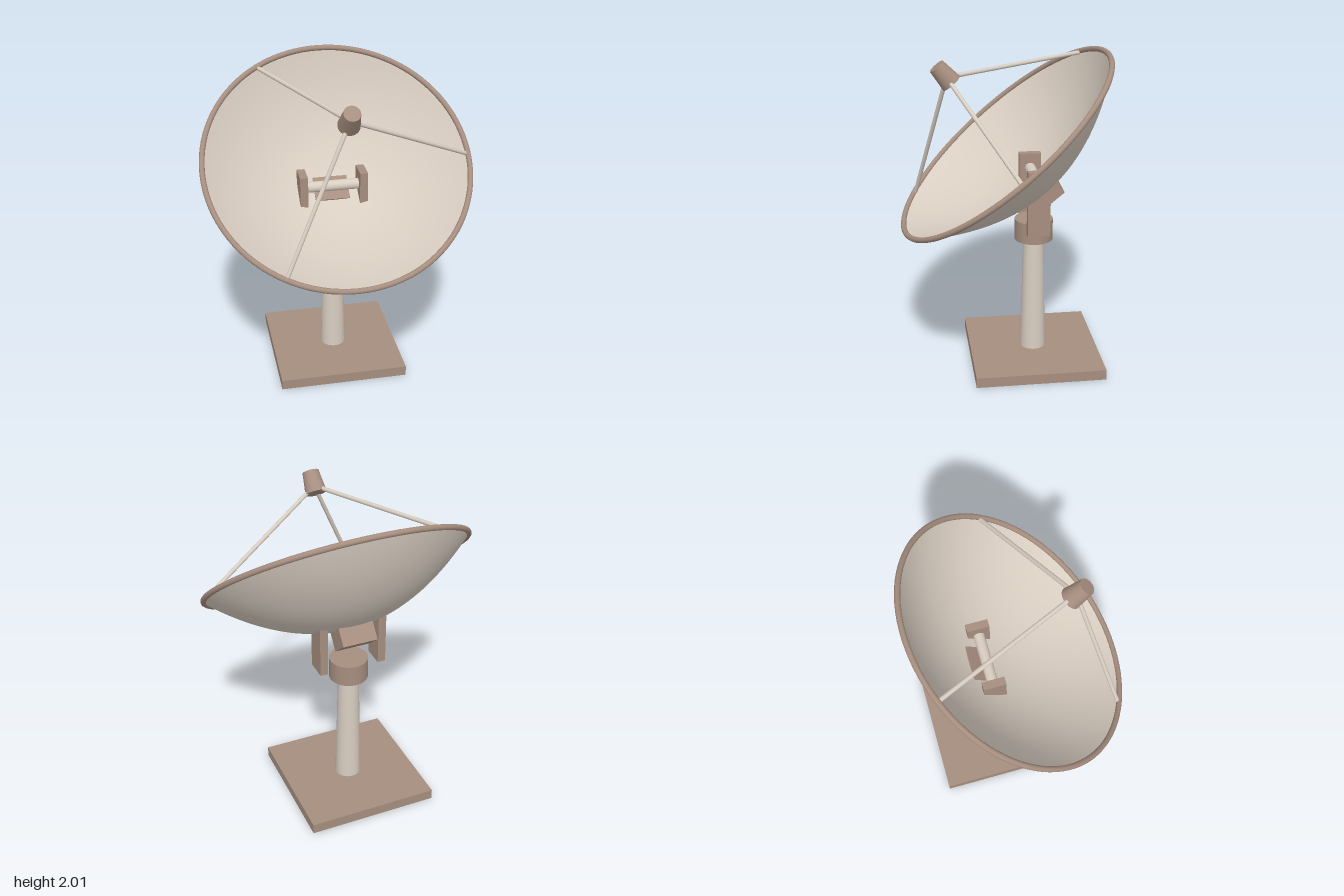
import * as THREE from 'three';

export function createModel() {
  const cream = new THREE.MeshStandardMaterial({ name: 'cream', color: 0xd8cdc1 });
  const creamShell = new THREE.MeshStandardMaterial({ name: 'creamShell', color: 0xd8cdc1, side: THREE.DoubleSide });
  const brown = new THREE.MeshStandardMaterial({ name: 'brown', color: 0xa68e7f });

  const model = new THREE.Group();
  model.name = 'dishAntenna';
  const add = (parent, name, geometry, material, x = 0, y = 0, z = 0) => {
    const mesh = new THREE.Mesh(geometry, material);
    mesh.name = name;
    mesh.position.set(x, y, z);
    parent.add(mesh);
    return mesh;
  };

  // Pedestal, set behind the centre of the dish
  const pz = -0.19;
  add(model, 'basePlate', new THREE.BoxGeometry(0.82, 0.066, 0.82), brown, 0, 0.033, pz);
  add(model, 'column', new THREE.CylinderGeometry(0.065, 0.081, 0.76, 32), cream, 0, 0.446, pz);
  add(model, 'collar', new THREE.CylinderGeometry(0.12, 0.12, 0.135, 40), brown, 0, 0.8875, pz);

  // Fork arms and the tilt axle between them
  for (const [name, s] of [['leftForkArm', 1], ['rightForkArm', -1]]) {
    add(model, name, new THREE.BoxGeometry(0.05, 0.41, 0.138), brown, s * 0.19, 1.12, pz);
  }
  const axle = add(model, 'tiltAxle', new THREE.CylinderGeometry(0.034, 0.034, 0.42, 24), cream, 0, 1.23, pz);
  axle.rotation.z = Math.PI / 2;

  // Tilted reflector assembly: local y is the dish axis, the rim lies at y = 0
  const dish = new THREE.Group();
  dish.name = 'reflectorAssembly';
  dish.position.y = 1.465;
  dish.rotation.x = THREE.MathUtils.degToRad(40);
  model.add(dish);

  const radius = 0.815, depth = 0.365;
  const profile = [];
  for (let i = 0; i <= 24; i++) {
    const t = i / 24;
    profile.push(new THREE.Vector2(radius * t, depth * (t * t - 1)));
  }
  add(dish, 'reflector', new THREE.LatheGeometry(profile, 72), creamShell);

  const rim = add(dish, 'rim', new THREE.TorusGeometry(radius, 0.017, 12, 96), brown);
  rim.rotation.x = Math.PI / 2;

  add(dish, 'mountBlock', new THREE.BoxGeometry(0.22, 0.119, 0.16), brown, 0, -0.4105, 0);

  // Feed horn on the axis, held by three struts from the rim
  add(dish, 'feedHorn', new THREE.CylinderGeometry(0.05, 0.066, 0.136, 28), brown, 0, 0.551, 0);
  const apex = new THREE.Vector3(0, 0.53, 0);
  for (let i = 0; i < 3; i++) {
    const a = (i * Math.PI * 2) / 3;
    const foot = new THREE.Vector3(0.8 * Math.cos(a), 0, 0.8 * Math.sin(a));
    const span = apex.clone().sub(foot);
    const strut = add(dish, 'feedStrut', new THREE.CylinderGeometry(0.013, 0.013, span.length(), 14), cream);
    strut.position.copy(foot).add(apex).multiplyScalar(0.5);
    strut.quaternion.setFromUnitVectors(new THREE.Vector3(0, 1, 0), span.normalize());
  }

  return model;
}
